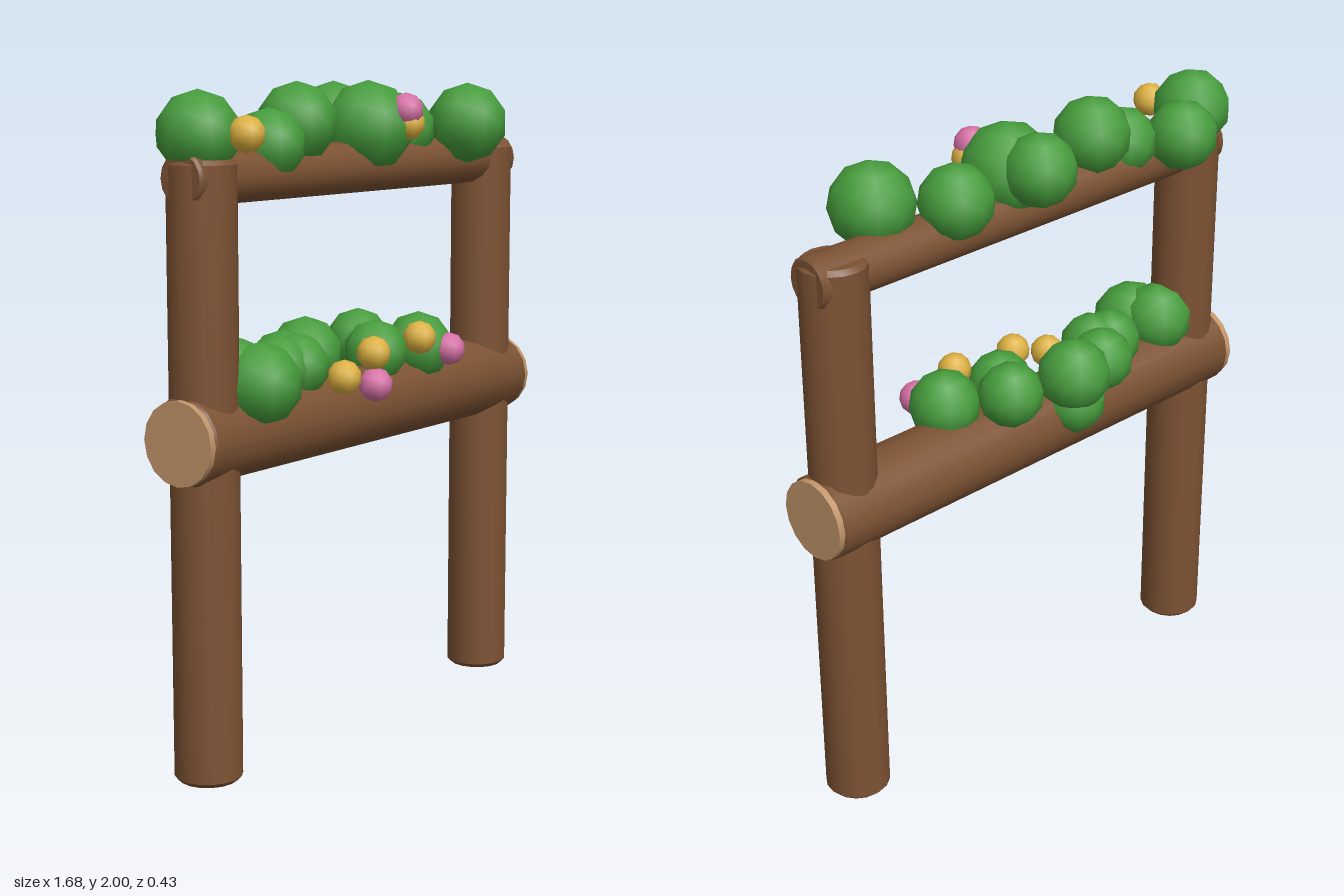
import * as THREE from 'three';
import { toCreasedNormals } from 'three/addons/utils/BufferGeometryUtils.js';

const mat = (name, color) => {
  const m = new THREE.MeshStandardMaterial({ color });
  m.name = name;
  return m;
};

// Round log along y, centred, with small chamfers at both ends
function logGeometry(radius, length, bevel, sides = 16) {
  const h = length / 2;
  const profile = [
    [0, -h], [radius - bevel, -h], [radius, -h + bevel],
    [radius, h - bevel], [radius - bevel, h], [0, h],
  ].map(([x, y]) => new THREE.Vector2(x, y));
  return toCreasedNormals(new THREE.LatheGeometry(profile, sides), 0.6);
}

export function createModel() {
  const bark = mat('bark brown', 0x7c5233);
  const cutWood = mat('cut wood tan', 0xc2956a);
  const leaf = mat('leaf green', 0x469c3c);
  const yellow = mat('yellow petal', 0xdcb040);
  const pink = mat('pink petal', 0xd670a6);

  const model = new THREE.Group();
  model.name = 'flowerCoveredLogFrame';

  const add = (name, geometry, material, x, y, z, parent = model) => {
    const mesh = new THREE.Mesh(geometry, material);
    mesh.name = name;
    mesh.position.set(x, y, z);
    parent.add(mesh);
    return mesh;
  };

  // Upright posts
  const post = logGeometry(0.1, 1.79, 0.014);
  add('leftPost', post, bark, 0.72, 0.895, 0);
  add('rightPost', post, bark, -0.72, 0.895, 0);

  // Horizontal logs
  add('topRail', logGeometry(0.078, 1.62, 0.008), bark, 0, 1.738, 0).rotation.z = Math.PI / 2;
  add('mainLog', logGeometry(0.129, 1.64, 0.008), bark, 0, 1.006, 0).rotation.z = Math.PI / 2;

  // Sawn faces on the ends of the main log
  const cap = new THREE.CylinderGeometry(0.123, 0.123, 0.03, 16);
  for (const side of [1, -1]) {
    const name = side > 0 ? 'leftCutEnd' : 'rightCutEnd';
    add(name, cap, cutWood, side * 0.823, 1.006, 0).rotation.z = Math.PI / 2;
  }

  // Round clumps: x, y, z, radius
  const ball = new THREE.IcosahedronGeometry(1, 1);
  const clumps = (groupName, partName, material, list) => {
    const group = new THREE.Group();
    group.name = groupName;
    model.add(group);
    for (const [x, y, z, r] of list) {
      add(partName, ball, material, x, y, z, group).scale.setScalar(r);
    }
  };

  clumps('topFoliage', 'leafClump', leaf, [
    [-0.72, 1.86, -0.01, 0.122],
    [-0.58, 1.83, -0.1, 0.11],
    [-0.43, 1.82, 0.01, 0.107],
    [-0.285, 1.88, 0, 0.12],
    [0.045, 1.86, 0.02, 0.14],
    [0.035, 1.885, -0.105, 0.112],
    [0.3, 1.845, -0.04, 0.113],
    [0.508, 1.86, 0.08, 0.128],
  ]);

  clumps('lowerFoliage', 'leafClump', leaf, [
    [-0.6, 1.17, 0, 0.115],
    [-0.57, 1.15, 0.085, 0.122],
    [-0.38, 1.165, 0, 0.1],
    [-0.27, 1.16, -0.07, 0.102],
    [-0.32, 1.165, 0.02, 0.1],
    [-0.12, 1.17, -0.1, 0.115],
    [-0.13, 1.07, -0.09, 0.1],
    [0.07, 1.165, 0.03, 0.1],
    [0.13, 1.185, -0.08, 0.102],
    [0.285, 1.16, 0.045, 0.11],
  ]);

  // Blossoms on the front
  clumps('yellowBlossoms', 'yellowBlossom', yellow, [
    [-0.68, 1.86, 0.13, 0.053],
    [0.09, 1.87, 0.135, 0.053],
    [-0.23, 1.13, 0.13, 0.053],
    [-0.08, 1.185, 0.13, 0.053],
    [0.167, 1.205, 0.13, 0.053],
  ]);
  clumps('pinkBlossoms', 'pinkBlossom', pink, [
    [0.077, 1.91, 0.138, 0.053],
    [-0.083, 1.09, 0.14, 0.053],
    [0.31, 1.155, 0.145, 0.053],
  ]);

  return model;
}
